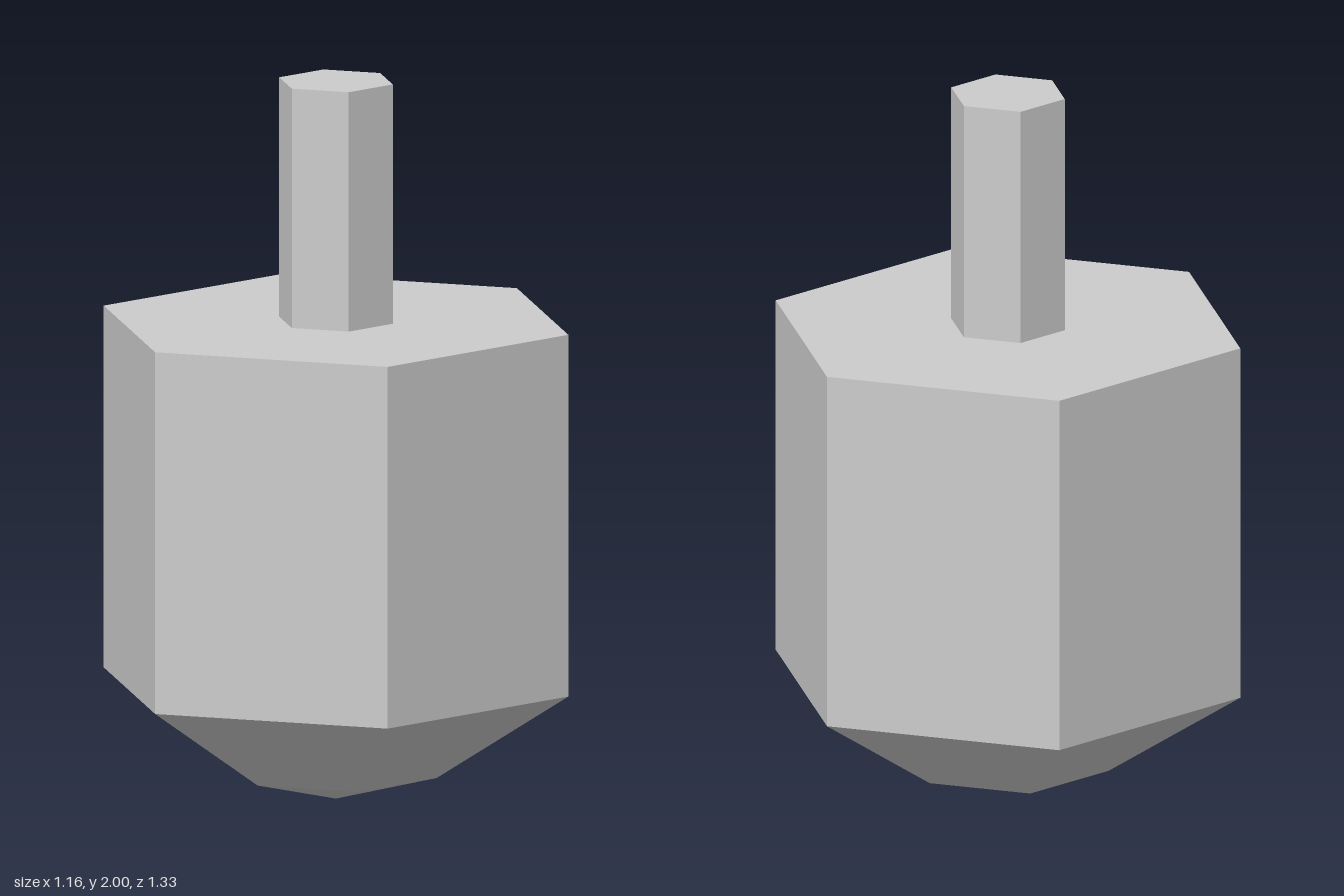
import * as THREE from 'three';

export function createModel() {
  const group = new THREE.Group();
  group.name = 'spinningTop';
  const material = new THREE.MeshStandardMaterial({ color: 0xcccccc, flatShading: true });

  // Six-sided section between two heights, corners on the z axis
  function hexSection(name, rTop, rBottom, yBottom, yTop, open = false) {
    const geometry = new THREE.CylinderGeometry(rTop, rBottom, yTop - yBottom, 6, 1, open);
    const mesh = new THREE.Mesh(geometry, material);
    mesh.name = name;
    mesh.position.y = (yBottom + yTop) / 2;
    group.add(mesh);
  }

  hexSection('handle', 0.163, 0.163, 1.333, 2);
  hexSection('body', 0.667, 0.667, 0.325, 1.333);
  // Underside narrows in two steps to a point
  hexSection('lowerTaper', 0.667, 0.289, 0.075, 0.325, true);
  hexSection('tip', 0.289, 0, 0, 0.075, true);

  return group;
}
